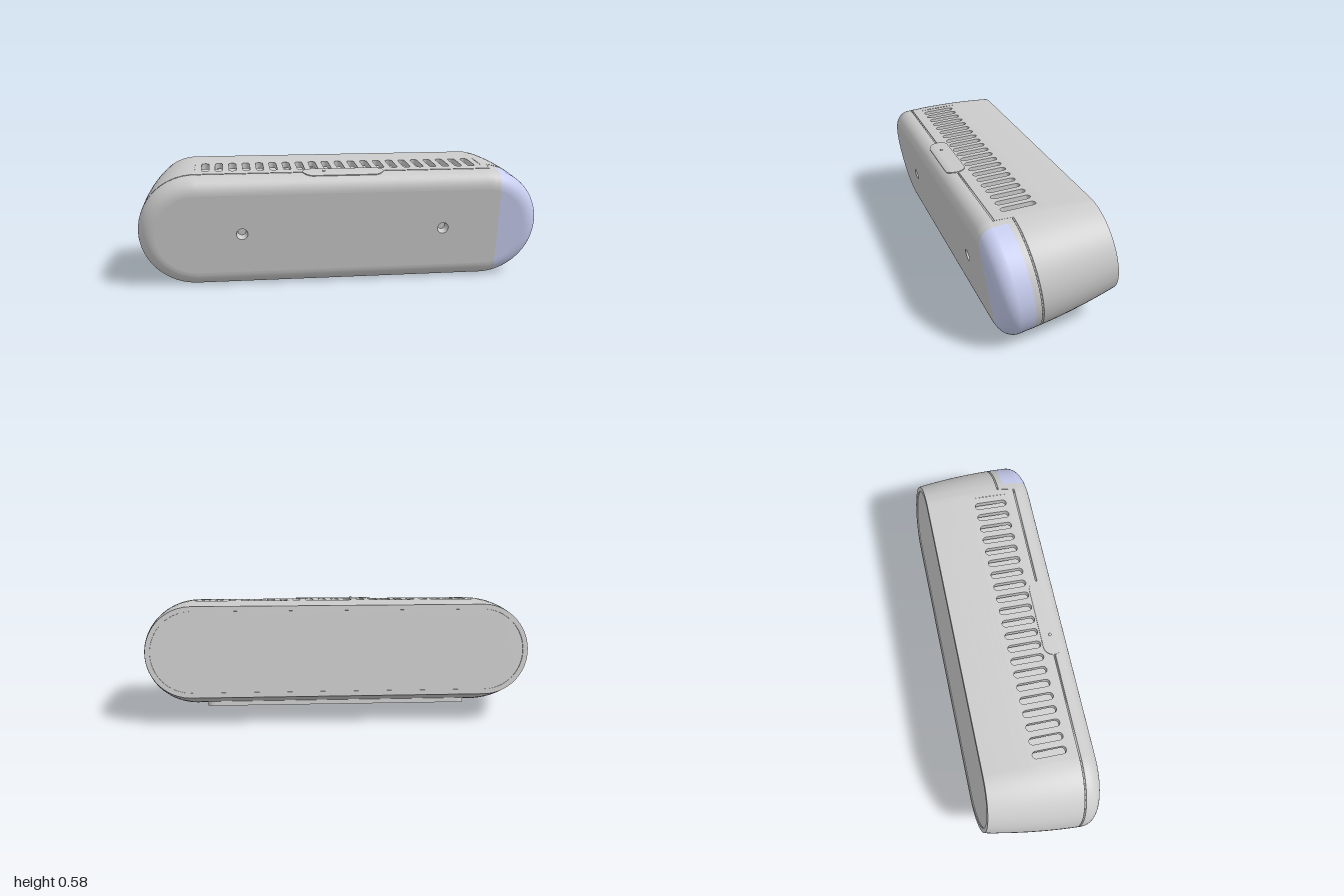
import * as THREE from 'three';

const CX = 0.72;                        // half length of the straight middle
const BACK = -0.3295, FRONT = 0.2245, SHOULDER = 0.15;
const PANEL_X = 0.785, PANEL_W = 0.081; // start of the coloured end panel
const FLOOR0 = -0.11, FLOOR1 = 0.09;    // depth range of the vent plates

const grey = new THREE.MeshStandardMaterial({ color: 0xcccccc, side: THREE.DoubleSide });
const blue = new THREE.MeshStandardMaterial({ color: 0xc8cef0, side: THREE.DoubleSide });

// Half height of the shell at depth w: gentle taper to the back, rounded front edge
function radius(w) {
  if (w > SHOULDER) {
    const k = Math.min(1, (w - SHOULDER) / (FRONT - SHOULDER));
    return 0.2 + 0.079 * Math.sqrt(1 - k * k);
  }
  const d = SHOULDER - w;
  return 0.279 - 0.0376 * d - 0.1695 * d * d;
}

// Columns of the stadium section, counter-clockwise seen from the front
const columns = [];
const seam = x => (x > 0.75 ? 0.048 : 0.13);
function addColumn(at, x) { columns.push({ at, seam: seam(x) }); }
const byX = (x, sign) => addColumn(r => {
  const d = Math.max(0, Math.abs(x) - CX);
  return [x, sign * Math.sqrt(r * r - d * d)];
}, x);
byX(-CX, -1);
[CX, 0.745, 0.755].forEach(x => byX(x, -1));
const panelStart = columns.length, ARC = 32;
for (let i = 0; i <= ARC; i++) {
  addColumn(r => {
    const a = Math.acos((PANEL_X - CX) / r) * (2 * i / ARC - 1);
    return [CX + r * Math.cos(a), r * Math.sin(a)];
  }, 1);
}
const panelEnd = columns.length - 1;
[0.755, 0.745, CX].forEach(x => byX(x, 1));
const topStraight = columns.length - 1;
byX(-CX, 1);
for (let i = 1; i < ARC; i++) {
  const a = Math.PI * (0.5 + i / ARC);
  addColumn(r => [-CX + r * Math.cos(a), r * Math.sin(a)], -1);
}

// Row of points from a rule giving [depth, radius] for each column
const row = rule => columns.map(c => {
  const [w, r] = rule(c.seam);
  const [x, y] = c.at(r);
  return new THREE.Vector3(x, y, w);
});

// Skin rows of points; keep(i, j) can leave quads out
function loft(rows, closed = true, keep = () => true) {
  const n = rows[0].length, index = [];
  for (let i = 0; i < rows.length - 1; i++) {
    for (let j = 0; j < (closed ? n : n - 1); j++) {
      if (!keep(i, j)) continue;
      const k = (j + 1) % n;
      const a = i * n + j, b = i * n + k, c = b + n, d = a + n;
      index.push(a, b, c, a, c, d);
    }
  }
  const g = new THREE.BufferGeometry().setFromPoints(rows.flat());
  g.setIndex(index);
  g.computeVertexNormals();
  return g;
}

// Rounded slot outline running along the depth
function slot(x, w0, w1, r) {
  const p = new THREE.Path();
  p.absarc(x, w1 - r, r, 0, Math.PI, false);
  p.absarc(x, w0 + r, r, Math.PI, 2 * Math.PI, false);
  p.closePath();
  return p;
}
function circle(x, y, r) {
  const p = new THREE.Path();
  p.absarc(x, y, r, 0, 2 * Math.PI, false);
  return p;
}

// Plate drawn in (x, depth), laid on the top with a height rule
function plate(shape, holes, thickness, height) {
  shape.holes = holes;
  const g = new THREE.ExtrudeGeometry(shape, { depth: thickness, bevelEnabled: false, curveSegments: 10 });
  g.rotateX(Math.PI / 2);
  const p = g.attributes.position;
  for (let i = 0; i < p.count; i++) p.setY(i, p.getY(i) + height(p.getZ(i)));
  g.computeVertexNormals();
  return g;
}

export function createModel() {
  const model = new THREE.Group();
  model.name = 'device';
  const body = new THREE.Group();
  body.name = 'tiltedBody';
  body.rotation.x = THREE.MathUtils.degToRad(10);
  body.position.set(0, 0.301, 0.053);
  model.add(body);
  const add = (name, geometry, material = grey) => {
    const m = new THREE.Mesh(geometry, material);
    m.name = name;
    body.add(m);
    return m;
  };
  const lerp = THREE.MathUtils.lerp;

  // Rear shell, leaving openings for the vent plates
  const rear = [];
  const rearRow = f => rear.push(row(s => { const w = f(s); return [w, radius(w)]; }));
  const low = s => Math.min(FLOOR1, s - 0.02);
  for (let i = 0; i <= 8; i++) rearRow(() => lerp(BACK, FLOOR0, i / 8));
  for (let i = 1; i <= 6; i++) rearRow(s => lerp(FLOOR0, low(s), i / 6));
  for (let i = 1; i <= 3; i++) rearRow(s => lerp(low(s), s - 0.004, i / 3));
  add('rearShell', loft(rear, true, (i, j) => !((j === 0 || j === topStraight) && i >= 8 && i < 14)));

  // Seam groove between rear shell and front cover
  add('seamGroove', loft([[-0.004, 0], [-0.003, 0.008], [0.003, 0.008], [0.004, 0]]
    .map(([d, sink]) => row(s => [s + d, radius(s + d) - sink]))));

  // Front cover and coloured end panel
  const front = [
    row(s => [s + 0.004, radius(s + 0.004)]),
    row(s => { const w = Math.max(PANEL_W, s + 0.01); return [w, radius(w)]; }),
  ];
  for (let i = 0; i <= 10; i++) {
    const a = Math.PI / 2 * i / 10;
    front.push(row(() => [SHOULDER + (FRONT - SHOULDER) * Math.sin(a), 0.2 + 0.079 * Math.cos(a)]));
  }
  const onPanel = (i, j) => i >= 1 && j >= panelStart && j < panelEnd;
  add('frontCover', loft(front, true, (i, j) => !onPanel(i, j)));
  add('endPanel', loft(front, true, onPanel), blue);

  // Flat front faces, with two screw holes
  const edge = front[front.length - 1].map(p => new THREE.Vector2(p.x, p.y));
  const face = new THREE.Shape([...edge.slice(panelEnd), ...edge.slice(0, panelStart + 1)]);
  face.holes = [-0.5, 0.5].map(x => circle(x, 0, 0.028));
  add('frontFace', new THREE.ShapeGeometry(face)).position.z = FRONT;
  add('endPanelFace', new THREE.ShapeGeometry(new THREE.Shape(edge.slice(panelStart, panelEnd + 1))), blue).position.z = FRONT;
  for (const x of [-0.5, 0.5]) {
    const wall = new THREE.CylinderGeometry(0.028, 0.02, 0.04, 24, 1, true).rotateX(Math.PI / 2);
    add('screwHoleWall', wall).position.set(x, 0, FRONT - 0.02);
    add('screwHoleFloor', new THREE.CircleGeometry(0.02, 24)).position.set(x, 0, FRONT - 0.04);
  }

  // Back rim and slightly inset back cover
  const inner = 0.198, inset = BACK + 0.005;
  add('backRim', loft([row(() => [BACK, inner]), row(() => [BACK, radius(BACK)])]));
  const insetRow = row(() => [inset, inner]);
  add('backRimWall', loft([insetRow, row(() => [BACK, inner])]));
  const cover = new THREE.ShapeGeometry(new THREE.Shape(insetRow.map(p => new THREE.Vector2(p.x, p.y))));
  add('backCover', cover.rotateY(Math.PI)).position.z = inset;
  cover.scale(-1, 1, 1);
  cover.index.array.reverse();

  // Vent plates above and below
  const slope = w => lerp(radius(FLOOR0), radius(FLOOR1), (w - FLOOR0) / (FLOOR1 - FLOOR0));
  const sheet = () => new THREE.Shape([[-CX, FLOOR0], [CX, FLOOR0], [CX, FLOOR1], [-CX, FLOOR1]]
    .map(p => new THREE.Vector2(...p)));
  const topSlots = [], bottomHoles = () => {
    const list = [circle(0, -0.045, 0.058)];
    for (let k = 2; k <= 9; k++) for (const s of [-1, 1]) list.push(slot(s * k * 0.067, -0.105, 0.015, 0.015));
    return list;
  };
  for (let k = -10; k <= 10; k++) topSlots.push(slot(k * 0.067, -0.089, 0.075, 0.018));
  add('topVents', plate(sheet(), topSlots, 0.03, slope));
  add('bottomVents', plate(sheet(), bottomHoles(), 0.03, slope)).rotation.z = Math.PI;

  // Flat foot pad with the mounting hole
  const pad = new THREE.Shape();
  pad.moveTo(0.66, 0.045);
  pad.lineTo(-0.66, 0.045);
  pad.lineTo(-0.66, -0.09);
  pad.quadraticCurveTo(-0.66, -0.129, -0.62, -0.129);
  pad.lineTo(0.62, -0.129);
  pad.quadraticCurveTo(0.66, -0.129, 0.66, -0.09);
  pad.closePath();
  add('footPad', plate(pad, bottomHoles(), 0.035, () => 0.278)).rotation.z = Math.PI;

  // Inner floors behind the vents
  for (const s of [-1, 1]) {
    add('ventFloor', new THREE.BoxGeometry(2 * CX, 0.01, 0.24)).position.set(0, s * 0.21, -0.01);
  }

  // Long button over the front edge, with its indicator dot
  const button = [], N = 16, R = 0.0475, mid = 0.1305;
  for (let i = 0; i <= N; i++) {
    const a = Math.PI * i / N, w = mid - R * Math.cos(a), h = 0.153 + R * Math.sin(a);
    button.push([h, -h].map(x => new THREE.Vector3(x, radius(w) + 0.004, w)));
  }
  add('button', loft(button, false));
  const outline = [...button.map(b => b[0]), ...button.map(b => b[1]).reverse()];
  add('buttonEdge', loft([outline, outline.map(p => p.clone().setY(p.y - 0.01))]));
  add('indicator', new THREE.SphereGeometry(0.008, 16, 10)).position.set(-0.095, radius(0.13) + 0.002, 0.13);

  return model;
}
